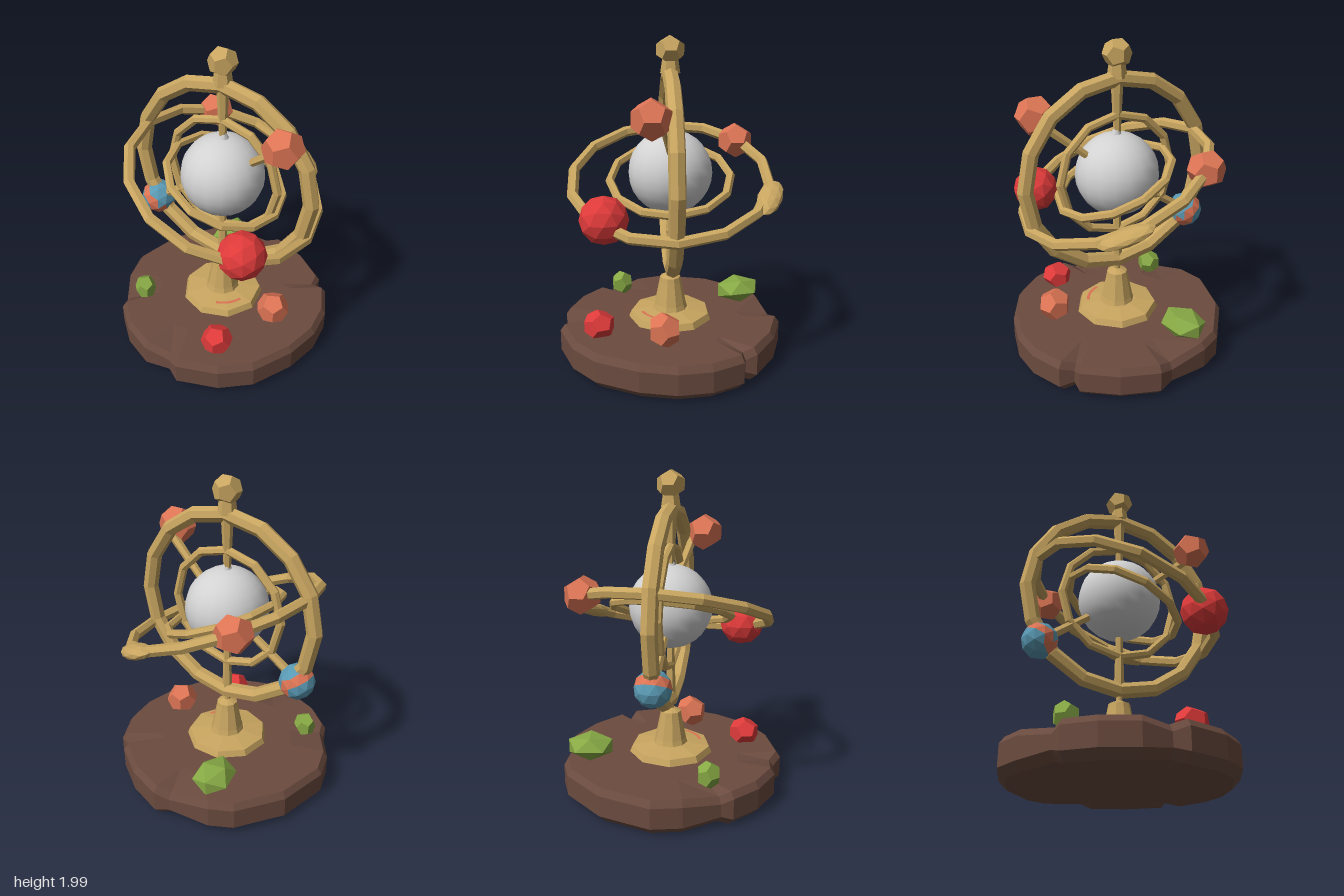
import * as THREE from 'three';

const paint = (name, color, flat = true) => {
  const m = new THREE.MeshStandardMaterial({ color, flatShading: flat });
  m.name = name;
  return m;
};

export function createModel() {
  const model = new THREE.Group();
  model.name = 'armillaryOrnament';
  const gold = paint('gold', 0xc8a560);
  const brown = paint('brown', 0x6b4b3f);
  const pale = paint('pale grey', 0xd2d2d2, false);
  const orange = paint('orange', 0xdc7454);
  const red = paint('red', 0xdf3a3a);
  const green = paint('green', 0x86a844);
  const blue = paint('blue', 0x5a9ab4);

  const add = (name, geo, mat, x = 0, y = 0, z = 0, parent = model) => {
    const mesh = new THREE.Mesh(geo, mat);
    mesh.name = name;
    mesh.position.set(x, y, z);
    parent.add(mesh);
    return mesh;
  };

  // Lobed base: a lathe whose spokes follow an irregular outline
  const outline = [[.02, .66], [.1, .7], [.35, .61], [.52, .47], [.65, .22], [.7, 0], [.68, -.2], [.59, -.39],
    [.5, -.41], [.5, -.48], [.3, -.62], [.07, -.7], [-.02, -.67], [-.28, -.63], [-.42, -.56], [-.62, -.3],
    [-.7, .02], [-.65, .2], [-.52, .4], [-.5, .47], [-.35, .6], [-.15, .68]];
  const notches = [0, 8, 12, 18];
  const profile = [[0, .02], [.6, .012], [.93, .01], [1, .06], [1, .19], [.96, .23], [.65, .23], [0, .23]];
  const base = new THREE.LatheGeometry(profile.map(p => new THREE.Vector2(...p)), outline.length);
  const pos = base.attributes.position;
  for (let i = 0; i < pos.count; i++) {
    const spoke = Math.floor(i / profile.length) % outline.length;
    const [r, y] = profile[i % profile.length];
    const sink = notches.includes(spoke) && r > .8 ? (y > .12 ? -.03 : .02) : 0;
    pos.setXYZ(i, outline[spoke][0] * r, y + sink, outline[spoke][1] * r);
  }
  add('base', base, brown);

  // Foot dish and pedestal
  const lathe = (pts, n) => new THREE.LatheGeometry(pts.map(p => new THREE.Vector2(...p)), n);
  add('footDish', lathe([[.27, .22], [.25, .27], [.12, .29], [0, .29]], 9), gold);
  add('pedestal', lathe([[.115, .27], [.1, .32], [.07, .47], [.065, .5], [.02, .52], [.02, .58]], 10), gold);
  const fleck = add('dishFleck', new THREE.RingGeometry(.18, .2, 6, 1, -1.25, .9), orange, 0, .286);
  fleck.rotation.x = -Math.PI / 2;

  // Rings
  const ring = (name, r, tube, segments, y) =>
    add(name, new THREE.TorusGeometry(r, tube, 7, segments), gold, 0, y, 0);
  ring('outerRing', .595, .049, 16, 1.18);
  ring('innerRing', .375, .028, 12, 1.18);
  const tilted = new THREE.Group();
  tilted.name = 'tiltedRings';
  tilted.position.set(.02, 1.15, 0);
  tilted.rotation.set(.03, 0, -.39);
  model.add(tilted);
  [['tiltedOuterRing', .605, .035, 14], ['tiltedInnerRing', .37, .027, 12]].forEach(([name, r, t, n]) => {
    const m = add(name, new THREE.TorusGeometry(r, t, 6, n), gold, 0, 0, 0, tilted);
    m.rotation.x = Math.PI / 2;
  });
  // Thickened knot at the back of the tilted ring
  const knot = add('ringKnot', new THREE.IcosahedronGeometry(1, 1), gold, .24, 0, -.57, tilted);
  knot.scale.set(.17, .045, .075);
  knot.rotation.y = -.4;

  // Rods between points
  const rod = (name, a, b, r1, r2) => {
    const from = new THREE.Vector3(...a), to = new THREE.Vector3(...b);
    const m = add(name, new THREE.CylinderGeometry(r2, r1, from.distanceTo(to), 6), gold);
    m.position.copy(from).lerp(to, .5);
    m.quaternion.setFromUnitVectors(new THREE.Vector3(0, 1, 0), to.sub(from).normalize());
  };
  rod('topRod', [0, 1.4, 0], [0, 1.78, 0], .02, .038);
  rod('bottomRod', [0, .56, 0], [0, .95, 0], .033, .022);
  rod('upperArm', [.17, 1.31, 0], [.46, 1.55, .06], .024, .03);
  rod('lowerArm', [-.17, 1.06, 0], [-.46, .86, 0], .024, .03);

  // Finial
  rod('finialNeck', [0, 1.78, 0], [0, 1.88, 0], .06, .045);
  add('finial', new THREE.DodecahedronGeometry(.088), gold, 0, 1.917, 0);

  // Central globe with a small peak
  add('globe', new THREE.SphereGeometry(.258, 18, 14), pale, 0, 1.185, 0);
  add('globePeak', new THREE.ConeGeometry(.045, .1, 8), pale, .005, 1.46, 0);

  // Orbiting balls
  add('upperBall', new THREE.DodecahedronGeometry(.12), orange, .46, 1.58, .13);
  add('rearBall', new THREE.DodecahedronGeometry(.115), orange, -.34, 1.31, -.45);
  add('redBall', new THREE.IcosahedronGeometry(.143, 1), red, .38, 1, .4);

  // Two-coloured ball: an orange band across blue faces
  const banded = new THREE.IcosahedronGeometry(.112, 1);
  const p = banded.attributes.position;
  for (let i = 0; i < p.count; i += 3) {
    let d = 0;
    for (let k = i; k < i + 3; k++) d += (p.getX(k) + p.getY(k)) / (3 * 1.414 * .112);
    banded.addGroup(i, 3, Math.abs(d - .1) < .32 ? 1 : 0);
  }
  add('bandedBall', banded, [blue, orange], -.5, .83, 0);

  // Gems resting on the base
  const gem = (name, mat, x, y, z, sx, sy, sz, turn, Shape = THREE.DodecahedronGeometry) => {
    const m = add(name, new Shape(1), mat, x, y, z);
    m.scale.set(sx, sy, sz);
    m.rotation.y = turn;
  };
  gem('orangeGem', orange, .42, .33, .06, .105, .105, .105, .5);
  gem('redGem', red, .24, .29, .45, .1, .09, .1, .3);
  gem('smallGreenGem', green, -.42, .29, .31, .07, .085, .08, .8);
  gem('largeGreenGem', green, -.22, .31, -.47, .13, .085, .16, .2, THREE.IcosahedronGeometry);

  return model;
}
